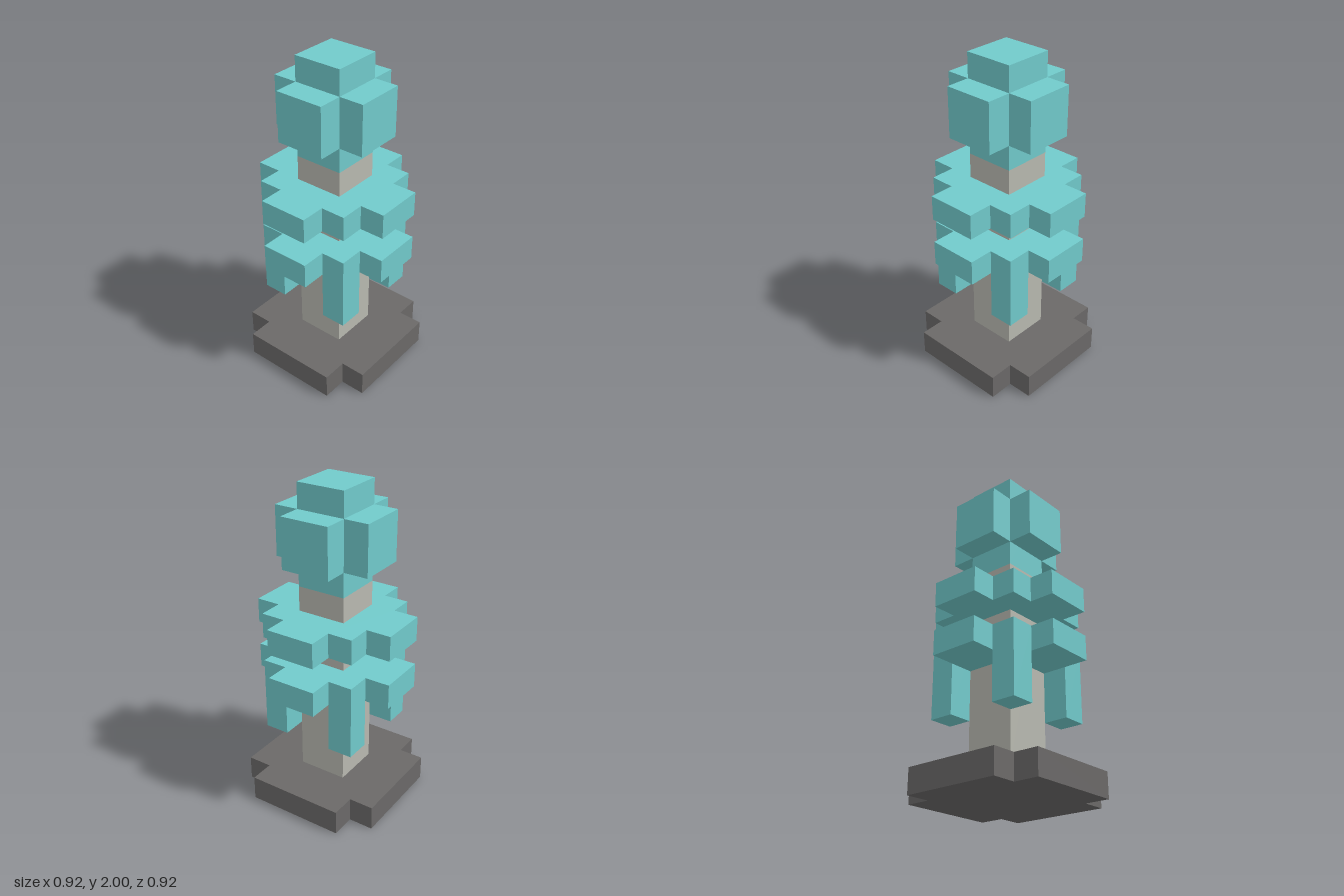
import * as THREE from 'three';

const U = 2 / 13; // one block unit

const stone = new THREE.MeshStandardMaterial({ color: 0x6b6968 });
stone.name = 'dark stone';
const bark = new THREE.MeshStandardMaterial({ color: 0xb8b9b0 });
bark.name = 'pale grey';
const teal = new THREE.MeshStandardMaterial({ color: 0x71cacb });
teal.name = 'teal';

export function createModel() {
  const model = new THREE.Group();
  model.name = 'blockTower';

  // Box between two heights, all in block units
  function block(name, material, width, y0, y1, x = 0, z = 0) {
    const mesh = new THREE.Mesh(new THREE.BoxGeometry(width * U, (y1 - y0) * U, width * U), material);
    mesh.position.set(x * U, (y0 + y1) / 2 * U, z * U);
    mesh.name = name;
    model.add(mesh);
  }

  // Flat plate with a stepped outline; the corner steps are given for one quarter
  function plate(name, material, quarter, y0, y1) {
    const points = [];
    for (let i = 0; i < 4; i++) {
      for (const [x, y] of quarter) {
        points.push(new THREE.Vector2(x * U, y * U).rotateAround(new THREE.Vector2(), i * Math.PI / 2));
      }
    }
    const geometry = new THREE.ExtrudeGeometry(new THREE.Shape(points), { depth: (y1 - y0) * U, bevelEnabled: false });
    geometry.rotateX(-Math.PI / 2);
    const mesh = new THREE.Mesh(geometry, material);
    mesh.position.y = y0 * U;
    mesh.name = name;
    model.add(mesh);
  }

  // Base and trunk
  plate('base', stone, [[3, 2], [2, 2], [2, 3]], 0, 1);
  block('trunk', bark, 2, 1, 9);

  // Lower tier: cross of arms with hanging corner posts
  plate('lowerArms', teal, [[3, 1], [1, 1], [1, 3]], 5, 6);
  for (const x of [-1.5, 1.5]) {
    for (const z of [-1.5, 1.5]) block('hangingPost', teal, 1, 3, 6, x, z);
  }

  // Middle tier: stepped disc
  plate('middleDisc', teal, [[3, 1], [2, 1], [2, 2], [1, 2], [1, 3]], 7, 8);

  // Head: core with a cross of side blocks
  block('headCore', teal, 2, 9, 13);
  plate('headSides', teal, [[2, 1], [1, 1], [1, 2]], 10, 12);

  return model;
}
